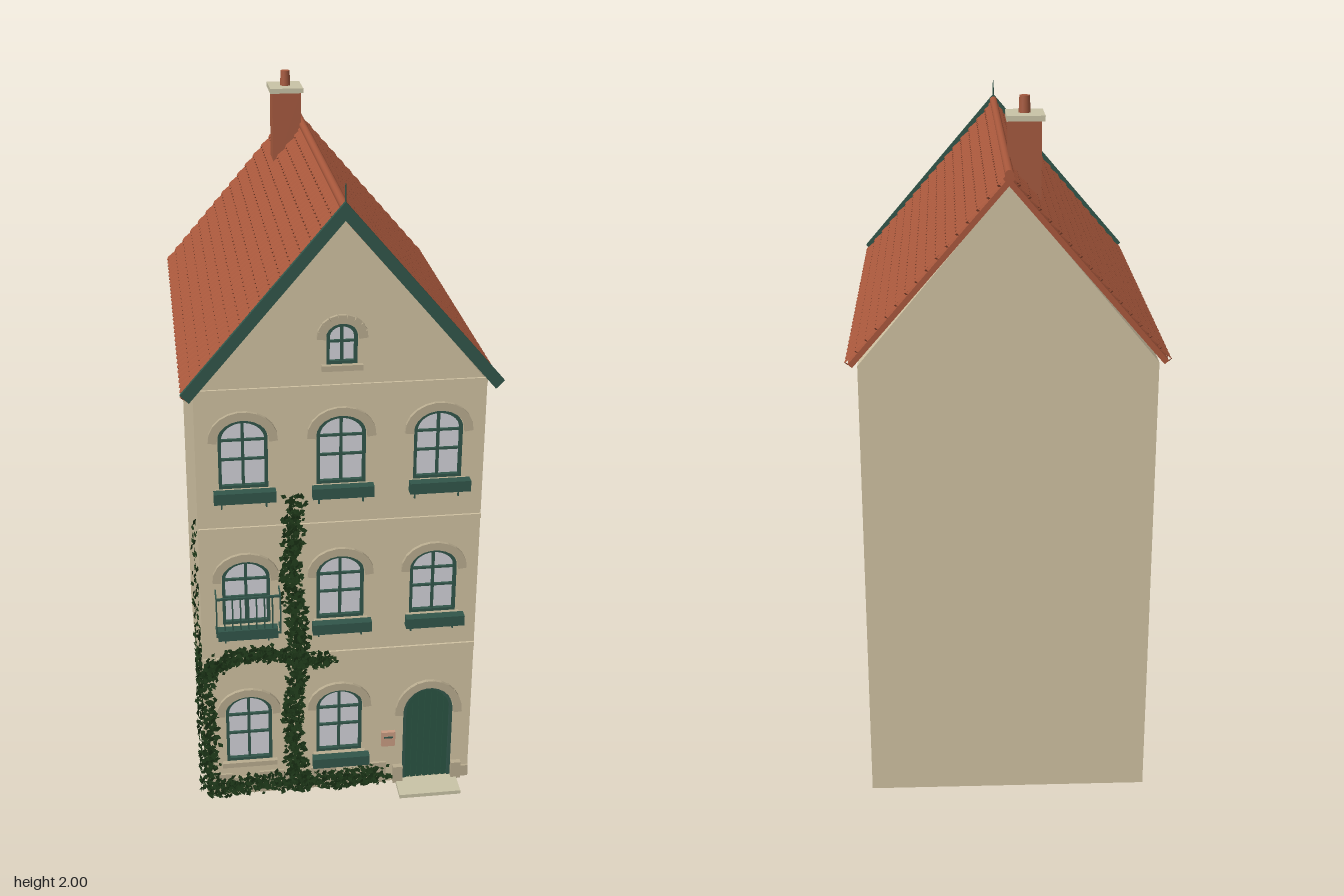
import * as THREE from 'three';

const mat = (name, color) => Object.assign(new THREE.MeshStandardMaterial({ color }), { name });
const M = {
  wall: mat('plaster', 0xd0c2a2), stone: mat('stone trim', 0xb9ac8f), roof: mat('roof tile', 0xa9583c),
  brick: mat('chimney brick', 0xa65a3f), cap: mat('chimney cap', 0xc9c3a6), green: mat('green paint', 0x31564a),
  door: mat('door green', 0x2a5442), glass: mat('window glass', 0xd2d2d8), ivy: mat('ivy leaf', 0x1f3a1a),
  post: mat('letterbox', 0xc99c82),
};
M.ivy.side = THREE.DoubleSide;
const FRONT = 0.55, BACK = -0.62;

function add(parent, name, geo, material, x = 0, y = 0, z = 0) {
  const m = new THREE.Mesh(geo, material);
  m.name = name;
  m.position.set(x, y, z);
  parent.add(m);
  return m;
}
// Box given by its limits on each axis
function block(parent, name, material, x0, x1, y0, y1, z0, z1) {
  return add(parent, name, new THREE.BoxGeometry(x1 - x0, y1 - y0, z1 - z0), material,
    (x0 + x1) / 2, (y0 + y1) / 2, (z0 + z1) / 2);
}
function poly(points) { return new THREE.Shape(points.map(p => new THREE.Vector2(...p))); }
function extrude(shape, depth) {
  return new THREE.ExtrudeGeometry(shape, { depth, bevelEnabled: false, curveSegments: 16 });
}
// Arched opening: half width w, from y0 to y1, with an elliptical head
function arch(cx, w, y0, y1, rise, Type = THREE.Shape) {
  const s = new Type();
  s.moveTo(cx - w, y0).lineTo(cx + w, y0).lineTo(cx + w, y1 - rise);
  s.absellipse(cx, y1 - rise, w, rise, 0, Math.PI, false, 0);
  s.closePath();
  return s;
}
let seed = 7;
const rnd = () => (seed = (seed * 16807) % 2147483647) / 2147483647;

// Openings: x, half width, bottom, top, head rise, flower box
const windows = [];
for (const x of [-0.27, 0, 0.27]) {
  windows.push([x, 0.068, 1.045, 1.25, 0.055, true], [x, 0.068, 0.61, 0.815, 0.055, true]);
}
windows.push([-0.27, 0.068, 0.13, 0.36, 0.055, false], [0, 0.068, 0.14, 0.36, 0.055, true],
  [0, 0.042, 1.4, 1.515, 0.035, false]);
const doorway = [0.27, 0.075, 0.012, 0.345, 0.085];

function voussoirs(g, x, w, y1, rise, n) {
  const cy = y1 - rise;
  for (let i = 0; i < n; i++) {
    const a = Math.PI * (0.03 + 0.94 * i / (n - 1)), r = 0.014;
    const s = add(g, 'archStone', new THREE.BoxGeometry(0.024, (w + rise) * 2.4 / n, 0.014), M.stone,
      x + Math.cos(a) * (w + r), cy + Math.sin(a) * (rise + r), FRONT + 0.004);
    s.rotation.z = Math.atan2(Math.sin(a) * w, Math.cos(a) * rise);
  }
}

function makeWindow([x, w, y0, y1, rise, box]) {
  const g = new THREE.Group();
  g.name = 'window';
  const frame = arch(x, w, y0, y1, rise), f = 0.009;
  frame.holes.push(arch(x, w - f, y0 + f, y1 - f, rise - f / 2, THREE.Path));
  add(g, 'windowFrame', extrude(frame, 0.014), M.green, 0, 0, FRONT - 0.014);
  add(g, 'windowGlass', new THREE.ShapeGeometry(arch(x, w, y0, y1, rise), 16), M.glass, 0, 0, FRONT - 0.012);
  const z0 = FRONT - 0.013, z1 = FRONT - 0.004, h = y1 - y0;
  block(g, 'mullion', M.green, x - 0.004, x + 0.004, y0, y1 - 0.003, z0, z1);
  for (const t of w > 0.05 ? [0.42, 0.7] : [0.55]) {
    block(g, 'glazingBar', M.green, x - w, x + w, y0 + h * t - 0.003, y0 + h * t + 0.003, z0, z1);
  }
  voussoirs(g, x, w, y1, rise, w > 0.05 ? 11 : 9);
  if (box) {
    block(g, 'flowerBox', M.green, x - 0.085, x + 0.085, y0 - 0.02, y0 + 0.012, 0.58, 0.607);
    block(g, 'windowSill', M.stone, x - 0.078, x + 0.078, y0 - 0.016, y0, FRONT - 0.01, 0.565);
    for (const s of [-0.062, 0.062]) {
      block(g, 'boxBracket', M.green, x + s - 0.002, x + s + 0.002, y0 - 0.06, y0 - 0.015, FRONT, FRONT + 0.006);
      block(g, 'boxBracketArm', M.green, x + s - 0.002, x + s + 0.002, y0 - 0.024, y0 - 0.02, FRONT, 0.6);
    }
  } else {
    block(g, 'windowSill', M.stone, x - w - 0.014, x + w + 0.014, y0 - 0.016, y0, FRONT - 0.01, 0.564);
  }
  return g;
}

function makeDoor() {
  const g = new THREE.Group(), [x, w, y0, y1, rise] = doorway;
  g.name = 'door';
  const frame = arch(x, w, y0, y1, rise);
  frame.holes.push(arch(x, w - 0.009, y0, y1 - 0.009, rise - 0.005, THREE.Path));
  add(g, 'doorFrame', extrude(frame, 0.014), M.green, 0, 0, FRONT - 0.014);
  add(g, 'doorLeaf', extrude(arch(x, w, y0, y1, rise), 0.006), M.door, 0, 0, FRONT - 0.02);
  for (let i = -3; i <= 3; i++) {
    const px = x + i * 0.019, top = y1 - rise + rise * Math.sqrt(1 - (i * 0.019 / w) ** 2) - 0.012;
    block(g, 'doorPlank', M.door, px - 0.008, px + 0.008, y0, top, FRONT - 0.015, FRONT - 0.008);
  }
  voussoirs(g, x, w, y1, rise, 13);
  for (const s of [-1, 1]) {
    block(g, 'doorBaseStone', M.stone, x + s * 0.09 - 0.015, x + s * 0.09 + 0.015, 0.012, 0.07, FRONT, 0.566);
  }
  block(g, 'doorStep', M.cap, 0.175, 0.362, 0.005, 0.017, FRONT, 0.632);
  return g;
}

// One roof slope, seen as the +x side; s runs down the slope, h off it
function makeSlope(half) {
  const d = [0.652, -0.758], n = [0.758, 0.652], L = 0.66, rows = 16, cols = 35, sub = 4, pos = [];
  const P = (s, z, h) => [d[0] * s + n[0] * h, 1.84 + d[1] * s + n[1] * h, z];
  const quad = (a, b, c, e) => pos.push(...a, ...b, ...c, ...a, ...c, ...e);
  const step = 2 * half / (cols * sub);
  for (let r = 0; r < rows; r++) {
    const s0 = r * L / rows, s1 = s0 + L / rows;
    for (let i = 0; i < cols * sub; i++) {
      const z0 = -half + i * step, z1 = z0 + step;
      const edge = k => s1 - 0.002 + 0.008 * Math.sin(Math.PI * (k % sub) / sub);
      const a = edge(i), b = edge(i + 1);
      quad(P(s0, z0, -0.006), P(s0, z1, -0.006), P(b, z1, 0.001), P(a, z0, 0.001));
      quad(P(a, z0, 0.001), P(b, z1, 0.001), P(b, z1, -0.008), P(a, z0, -0.008));
    }
  }
  const tiles = new THREE.BufferGeometry();
  tiles.setAttribute('position', new THREE.Float32BufferAttribute(pos, 3));
  tiles.computeVertexNormals();
  const g = new THREE.Group();
  g.name = 'roofSlope';
  add(g, 'roofTiles', tiles, M.roof);
  const slab = poly([[0, -0.007], [0, -0.022], [L, -0.022], [L, -0.007]].map(([s, h]) => P(s, 0, h).slice(0, 2)));
  add(g, 'roofBoards', extrude(slab, half * 2), M.roof, 0, 0, -half);
  return g;
}

// Ivy leaves scattered along a path on the front wall, or on the left-hand screen side wall
function makeIvy(runs) {
  const pos = [];
  for (const [pts, count, spread, side] of runs) {
    const curve = new THREE.CatmullRomCurve3(pts.map(([u, v]) => new THREE.Vector3(u, v, 0)));
    for (let i = 0; i < count; i++) {
      const p = curve.getPoint(rnd()), r = 0.006 + rnd() * 0.005, a = rnd() * 6.28;
      const u = p.x + (rnd() + rnd() - 1) * spread, v = Math.max(0.012, p.y + (rnd() + rnd() - 1) * spread);
      const w = 0.003 + rnd() * 0.017, tilt = (rnd() - 0.5) * 1.4;
      const q = [[1.2, 0], [0, 0.8], [-0.9, 0], [0, -0.8]].map(([x, y]) => {
        const du = r * (x * Math.cos(a) - y * Math.sin(a)), dv = r * (x * Math.sin(a) + y * Math.cos(a));
        const o = Math.max(0.001, w + du * tilt);
        return side ? [-0.4 - o, v + dv, u + du] : [u + du, v + dv, FRONT + o];
      });
      pos.push(...q[0], ...q[1], ...q[2], ...q[0], ...q[2], ...q[3]);
    }
  }
  const geo = new THREE.BufferGeometry();
  geo.setAttribute('position', new THREE.Float32BufferAttribute(pos, 3));
  geo.computeVertexNormals();
  return geo;
}

export function createModel() {
  const house = new THREE.Group();
  house.name = 'townHouse';

  // Hollow body, open underneath, with the gable block above
  const plan = poly([[-0.4, -0.525], [0.4, -0.525], [0.4, -BACK], [-0.4, -BACK]]);
  plan.holes.push(poly([[-0.355, -0.17], [0.355, -0.17], [0.355, 0.57], [-0.355, 0.57]]));
  add(house, 'bodyWalls', extrude(plan, 1.32).rotateX(-Math.PI / 2), M.wall, 0, 0.01, 0);
  add(house, 'gableBlock', extrude(poly([[-0.4, 1.33], [0.4, 1.33], [0, 1.81]]), 0.525 - BACK), M.wall, 0, 0, BACK);

  // Front wall with openings
  const face = poly([[-0.4, 0.01], [0.4, 0.01], [0.4, 1.33], [0, 1.81], [-0.4, 1.33]]);
  for (const o of [...windows, doorway]) face.holes.push(arch(...o.slice(0, 5), THREE.Path));
  add(house, 'frontWall', extrude(face, 0.025), M.wall, 0, 0, 0.525);
  for (const y of [0.49, 0.918, 1.335]) block(house, 'stringCourse', M.wall, -0.4, 0.4, y - 0.007, y + 0.007, FRONT, 0.556);
  for (let i = 0; i < 7; i++) {
    block(house, 'plinthStone', M.stone, -0.398 + i * 0.078, -0.324 + i * 0.078, 0.012, 0.085 - (i % 2) * 0.015, FRONT, 0.557);
  }
  block(house, 'cornerStone', M.stone, 0.372, 0.4, 0.012, 0.05, FRONT, 0.557);
  windows.forEach(w => house.add(makeWindow(w)));
  house.add(makeDoor());
  block(house, 'letterbox', M.post, 0.128, 0.17, 0.148, 0.198, FRONT, 0.562);
  block(house, 'letterboxSlot', M.green, 0.136, 0.162, 0.178, 0.183, 0.562, 0.564);

  // Balcony railing
  const rail = new THREE.Group();
  rail.name = 'balconyRailing';
  house.add(rail);
  for (const y of [0.605, 0.725]) {
    block(rail, 'rail', M.green, -0.36, -0.175, y - 0.003, y + 0.003, 0.598, 0.604);
    for (const x of [-0.358, -0.177]) block(rail, 'sideRail', M.green, x - 0.002, x + 0.002, y - 0.003, y + 0.003, FRONT, 0.6);
  }
  for (let i = 0; i <= 8; i++) {
    const x = -0.358 + i * 0.0226;
    block(rail, 'baluster', M.green, x - 0.002, x + 0.002, 0.605, 0.725, 0.599, 0.603);
  }

  // Roof, ridge and front bargeboards
  const roof = new THREE.Group();
  roof.name = 'roof';
  roof.position.z = -0.015;
  const left = makeSlope(0.607);
  left.rotation.y = Math.PI;
  roof.add(makeSlope(0.607), left);
  add(roof, 'ridgeTiles', new THREE.CylinderGeometry(0.012, 0.012, 1.225, 12).rotateX(Math.PI / 2), M.roof, 0, 1.838, -0.005);
  house.add(roof);
  const barge = poly([[0, 1.857], [0.435, 1.35], [0.412, 1.327], [0, 1.808], [-0.412, 1.327], [-0.435, 1.35]]);
  add(house, 'bargeboard', extrude(barge, 0.012), M.green, 0, 0, 0.588);
  add(house, 'finial', new THREE.CylinderGeometry(0.0015, 0.003, 0.07, 6), M.green, 0, 1.868, 0.594);

  // Chimney
  block(house, 'chimneyStack', M.brick, -0.094, -0.006, 1.68, 1.942, -0.436, -0.347);
  block(house, 'chimneyCap', M.cap, -0.102, 0, 1.94, 1.955, -0.452, -0.335);
  add(house, 'chimneyPot', new THREE.CylinderGeometry(0.014, 0.016, 0.047, 16), M.brick, -0.05, 1.9765, -0.392);

  // Climbing ivy
  add(house, 'ivy', makeIvy([
    [[[-0.12, 0.02], [-0.14, 0.25], [-0.12, 0.5], [-0.14, 0.75], [-0.13, 1.0]], 1150, 0.036],
    [[[-0.39, 0.02], [-0.385, 0.2], [-0.39, 0.44], [-0.34, 0.49], [-0.22, 0.51], [-0.13, 0.49], [-0.03, 0.47]], 900, 0.03],
    [[[-0.38, 0.04], [-0.2, 0.05], [0, 0.04], [0.13, 0.05]], 750, 0.04],
    [[[0.52, 0.02], [0.47, 0.2], [0.47, 0.38], [0.53, 0.48], [0.5, 0.6], [0.54, 0.95]], 380, 0.05, true],
  ]), M.ivy);
  return house;
}
